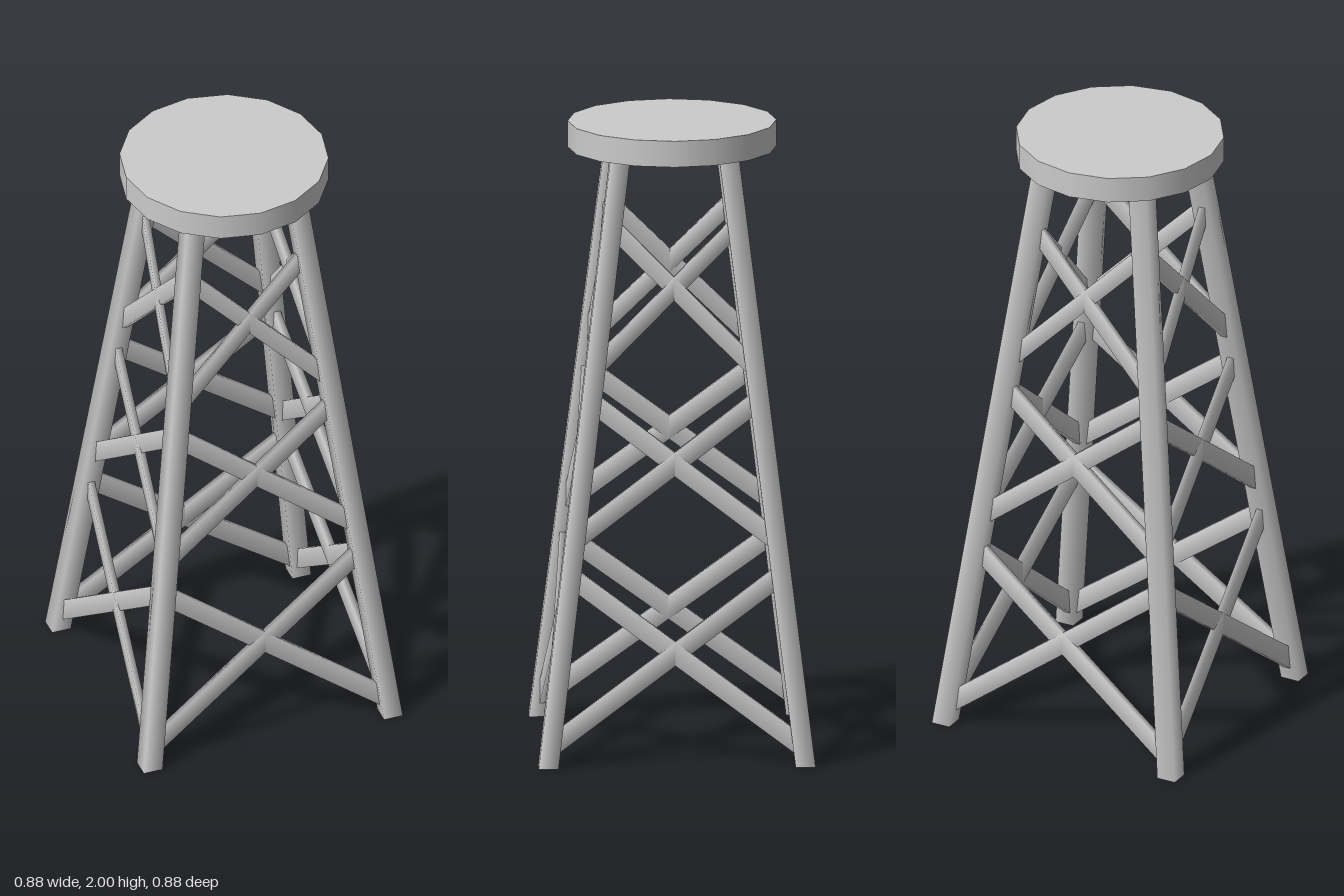
import * as THREE from 'three';

const material = new THREE.MeshStandardMaterial({ color: 0xcccccc });
const vec = (x, y, z) => new THREE.Vector3(x, y, z);

// Square bar from a to b; u and v are the two sides of its cross-section
function bar(name, a, b, u, v) {
  const geometry = new THREE.CylinderGeometry(Math.SQRT1_2, Math.SQRT1_2, 1, 4, 1, false, Math.PI / 4);
  const middle = a.clone().add(b).multiplyScalar(0.5);
  geometry.applyMatrix4(new THREE.Matrix4().makeBasis(u, b.clone().sub(a), v).setPosition(middle));
  const mesh = new THREE.Mesh(geometry, material);
  mesh.name = name;
  return mesh;
}

// Distance of the leg axis from the centre planes at height y
const spread = (y) => 0.406 - 0.1225 * y;

export function createModel() {
  const model = new THREE.Group();
  model.name = 'stool';

  // Round seat
  const seat = new THREE.Mesh(new THREE.CylinderGeometry(0.33, 0.33, 0.084, 16), material);
  seat.name = 'seat';
  seat.position.y = 1.958;
  model.add(seat);

  // Four equal sides, each with one leg and three crossed pairs of braces
  const braceLevels = [[0.06, 0.6], [0.71, 1.15], [1.25, 1.7]];
  for (let i = 0; i < 4; i++) {
    const side = new THREE.Group();
    side.name = 'frameSide';
    side.rotation.y = i * Math.PI / 2;

    side.add(bar('leg', vec(0.409, 0, 0.403), vec(0.173, 1.93, 0.168),
      vec(0.063, 0, 0), vec(0, 0, 0.063)));

    for (const [low, high] of braceLevels) {
      const l = spread(low), h = spread(high);
      const depth = vec(0, 0, 0.022), height = vec(0, 0.076, 0);
      side.add(bar('risingBrace', vec(-l, low, l), vec(h, high, h), depth, height));
      side.add(bar('fallingBrace', vec(-h, high, h), vec(l, low, l), depth, height));
    }
    model.add(side);
  }
  return model;
}
